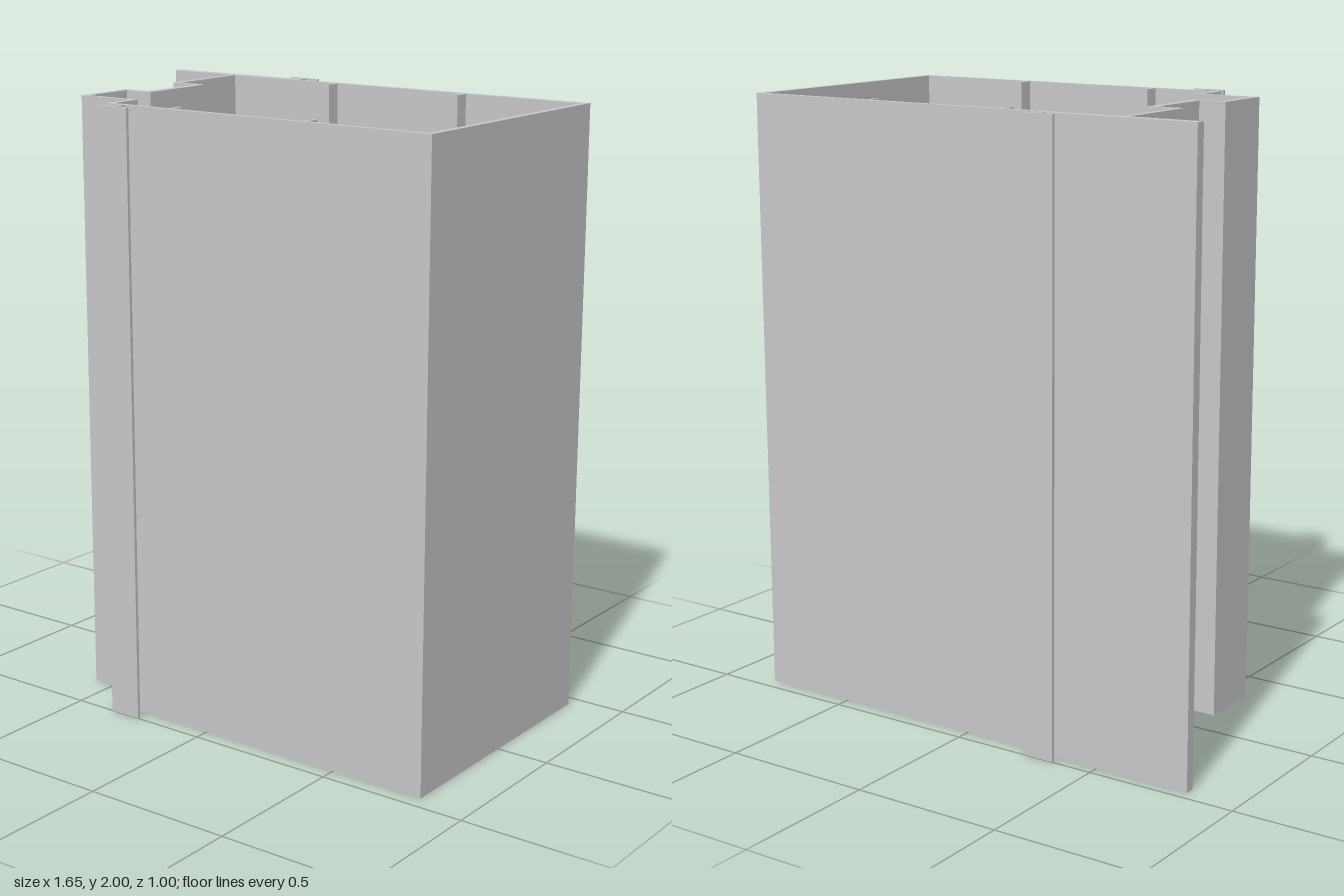
import * as THREE from 'three';

const HEIGHT = 2;
const WALL_INNER = 0.43;

export function createModel() {
  const group = new THREE.Group();
  const grey = new THREE.MeshStandardMaterial({ color: 0xc8c8c8 });
  grey.name = 'plain grey';

  // Extrudes a plan outline of [x, z] corners straight up from the floor
  const extrude = (name, outline, hole) => {
    const points = (list) => list.map(([x, z]) => new THREE.Vector2(x, -z));
    const shape = new THREE.Shape(points(outline));
    // The hole runs against the outline so that its walls face inwards
    if (hole) shape.holes.push(new THREE.Path(points(hole).reverse()));
    const geometry = new THREE.ExtrudeGeometry(shape, { depth: HEIGHT, bevelEnabled: false });
    geometry.rotateX(-Math.PI / 2);
    const mesh = new THREE.Mesh(geometry, grey);
    mesh.name = name;
    group.add(mesh);
  };

  // Hollow frame profile with the long back flange and the notched side
  extrude('frameShell', [
    [-0.824, -0.464], [-0.303, -0.464], [-0.303, -0.45], [0.824, -0.45],
    [0.824, 0.448], [-0.377, 0.448], [-0.377, 0.336], [-0.578, 0.336],
    [-0.578, 0.122], [-0.485, 0.122], [-0.485, -0.121], [-0.578, -0.121],
    [-0.578, -WALL_INNER], [-0.824, -WALL_INNER],
  ], [
    [-0.557, -WALL_INNER], [0.803, -WALL_INNER], [0.803, WALL_INNER], [-0.357, WALL_INNER],
    [-0.357, 0.319], [-0.557, 0.319], [-0.557, 0.14], [-0.457, 0.14],
    [-0.457, -0.138], [-0.557, -0.138],
  ]);

  for (const [side, s] of [['front', 1], ['back', -1]]) {
    // Inner stiffening ribs
    for (const x of [-0.129, 0.376]) {
      extrude(side + 'Rib', [
        [x - 0.008, s * (WALL_INNER + 0.003)], [x + 0.008, s * (WALL_INNER + 0.003)],
        [x + 0.008, s * 0.38], [x - 0.008, s * 0.38],
      ]);
    }
    // Outer T-shaped rail
    extrude(side + 'Rail', [
      [-0.309, s * 0.442], [-0.298, s * 0.442], [-0.298, s * 0.489], [-0.249, s * 0.489],
      [-0.249, s * 0.5], [-0.36, s * 0.5], [-0.36, s * 0.489], [-0.309, s * 0.489],
    ]);
  }
  return group;
}
